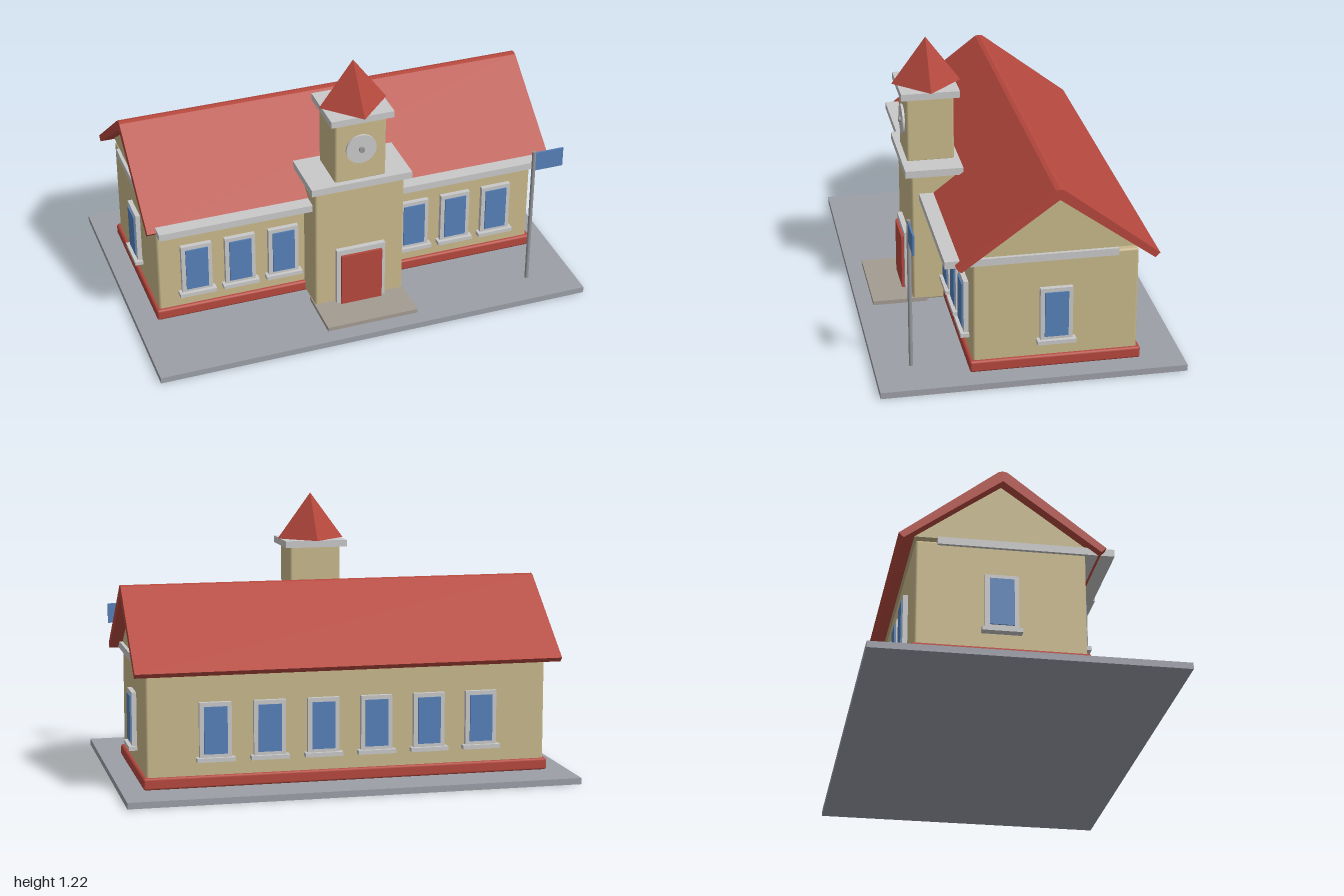
import * as THREE from 'three';
import { RoundedBoxGeometry } from 'three/addons/geometries/RoundedBoxGeometry.js';

const mat = (name, color) => new THREE.MeshStandardMaterial({ name, color });

export function createModel() {
  const wall = mat('cream wall', 0xc8b88b);
  const red = mat('brick red', 0xb5483d);
  const trim = mat('light trim', 0xc9c9c9);
  const blue = mat('blue', 0x5580b9);
  const paving = mat('paving grey', 0x9d9fa8);
  const stone = mat('step stone', 0xa39c92);
  const metal = mat('metal grey', 0x96979b);

  const model = new THREE.Group();
  model.name = 'schoolhouse';
  const midZ = -0.105; // centre line of the main hall

  const add = (name, geometry, material, parent = model) => {
    const mesh = new THREE.Mesh(geometry, material);
    mesh.name = name;
    parent.add(mesh);
    return mesh;
  };
  // Box given by its limits on each axis, optionally with softened edges
  const box = (name, m, [x0, x1], [y0, y1], [z0, z1], bevel = 0, parent = model) => {
    const size = [x1 - x0, y1 - y0, z1 - z0];
    const g = bevel ? new RoundedBoxGeometry(...size, 1, bevel) : new THREE.BoxGeometry(...size);
    g.translate((x0 + x1) / 2, (y0 + y1) / 2, (z0 + z1) / 2);
    return add(name, g, m, parent);
  };
  // Cross-section in (z, y) about the hall's centre line, extruded along x
  const alongX = (name, points, halfLength, m) => {
    const shape = new THREE.Shape(points.map(([a, y]) => new THREE.Vector2(a, y)));
    const g = new THREE.ExtrudeGeometry(shape, { depth: 2 * halfLength, bevelEnabled: false });
    g.translate(0, 0, -halfLength).rotateY(Math.PI / 2).translate(0, 0, midZ);
    return add(name, g, m);
  };

  // Ground and main hall
  box('ground', paving, [-1, 1], [0, 0.028], [-0.66, 0.66]);
  box('plinth', red, [-0.905, 0.905], [0.03, 0.082], [-0.475, 0.265], 0.01);
  box('hallWalls', wall, [-0.89, 0.89], [0.03, 0.546], [-0.46, 0.25], 0.01);
  box('cornice', trim, [-0.905, 0.905], [0.529, 0.561], [-0.37, 0.37]);
  alongX('gable', [[-0.365, 0.561], [0.365, 0.561], [0, 0.82]], 0.89, wall);
  alongX('roof', [
    [-0.432, 0.545], [-0.411, 0.525], [0, 0.822], [0.411, 0.525],
    [0.432, 0.545], [0.018, 0.864], [0, 0.868], [-0.018, 0.864],
  ], 0.945, red);

  // Windows: each faces +z in its own group, set against a wall
  const addWindow = (x, z, turn) => {
    const w = new THREE.Group();
    w.name = 'window';
    box('windowFrame', trim, [-0.07, 0.07], [0.16, 0.402], [-0.01, 0.021], 0, w);
    box('windowPane', blue, [-0.051, 0.051], [0.178, 0.384], [0.021, 0.027], 0, w);
    box('windowSill', trim, [-0.084, 0.084], [0.145, 0.163], [-0.01, 0.037], 0, w);
    w.position.set(x, 0, z);
    w.rotation.y = turn;
    model.add(w);
  };
  for (const side of [-1, 1]) {
    for (const x of [0.313, 0.515, 0.716]) addWindow(side * x, 0.25, 0);
    addWindow(side * 0.89, midZ, side * Math.PI / 2);
  }
  for (let i = 0; i < 6; i++) addWindow((i - 2.5) * 0.237, -0.46, Math.PI);

  // Clock tower
  box('towerBase', wall, [-0.208, 0.208], [0.035, 0.65], [0.2, 0.404], 0.01);
  box('lowerTowerCornice', trim, [-0.233, 0.233], [0.649, 0.682], [0.174, 0.433]);
  box('belfry', wall, [-0.118, 0.118], [0.675, 0.985], [0.196, 0.408], 0.01);
  box('upperTowerCornice', trim, [-0.144, 0.144], [0.979, 1.01], [0.172, 0.433]);
  const spire = new THREE.ConeGeometry(0.155, 0.211, 4).toNonIndexed();
  spire.computeVertexNormals();
  add('spire', spire, red).position.set(0, 1.1155, 0.302);

  // Clock face and hub
  const disc = (name, r, z0, z1, m) => {
    const g = new THREE.CylinderGeometry(r, r, z1 - z0, 24).rotateX(Math.PI / 2);
    add(name, g, m).position.set(0, 0.838, (z0 + z1) / 2);
  };
  disc('clockFace', 0.07, 0.4, 0.418, trim);
  disc('clockHub', 0.013, 0.418, 0.428, metal);

  // Entrance
  box('doorFrame', trim, [-0.114, 0.114], [0.04, 0.33], [0.395, 0.427]);
  box('door', red, [-0.096, 0.096], [0.045, 0.304], [0.42, 0.439]);
  box('doorStep', stone, [-0.212, 0.212], [0.028, 0.047], [0.34, 0.587]);

  // Flagpole
  add('flagpole', new THREE.CylinderGeometry(0.009, 0.009, 0.682, 12), metal).position.set(0.786, 0.369, 0.5);
  box('flag', blue, [0.792, 0.926], [0.612, 0.703], [0.496, 0.504]);

  return model;
}
